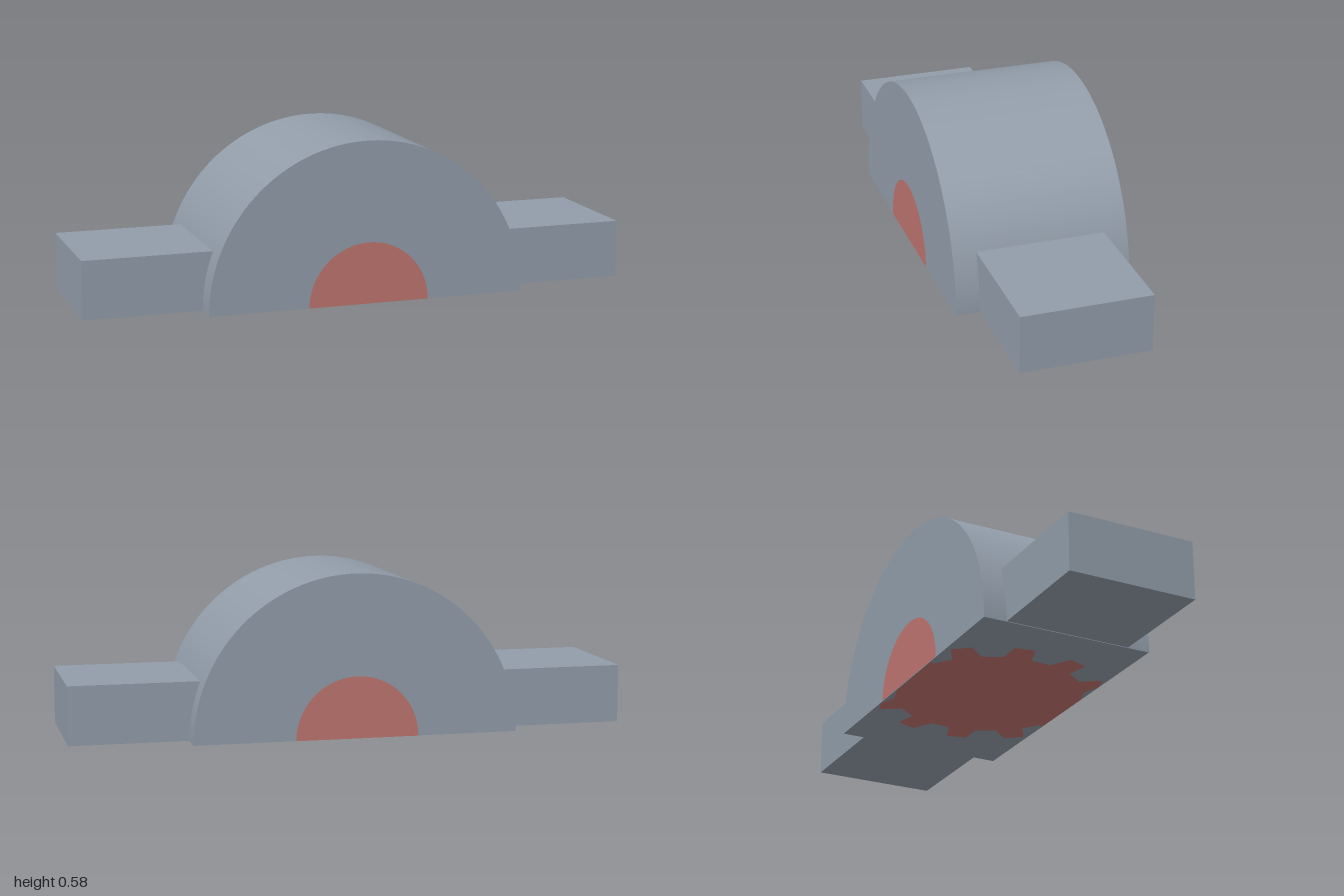
import * as THREE from 'three';

const RADIUS = 0.58, DEPTH = 0.63, LIFT = 0.002;

export function createModel() {
  const model = new THREE.Group();
  const grey = new THREE.MeshStandardMaterial({ color: 0x929daa });
  grey.name = 'steel grey';
  const red = new THREE.MeshStandardMaterial({ color: 0xbe7470 });
  red.name = 'dull red';

  const add = (name, geometry, material, x = 0, y = 0, z = 0) => {
    const mesh = new THREE.Mesh(geometry, material);
    mesh.name = name;
    mesh.position.set(x, y, z);
    model.add(mesh);
    return mesh;
  };

  // Half-round housing, lying along z
  const arch = new THREE.CylinderGeometry(RADIUS, RADIUS, DEPTH, 64, 1, false, Math.PI / 2, Math.PI);
  arch.rotateX(Math.PI / 2);
  add('housing', arch, grey, 0, LIFT - 0.002);
  const base = new THREE.PlaneGeometry(RADIUS * 2, DEPTH).rotateX(Math.PI / 2);
  add('housingBase', base, grey, 0, LIFT);

  // Mounting feet on both sides
  for (const side of [-1, 1]) {
    add(side > 0 ? 'leftFoot' : 'rightFoot',
      new THREE.BoxGeometry(0.5, 0.21 - LIFT, 0.462), grey, side * 0.75, (0.21 + LIFT) / 2);
  }

  // Red half discs on the front and back faces
  for (const side of [-1, 1]) {
    const disc = new THREE.CircleGeometry(0.22, 40, 0, Math.PI);
    const mesh = add(side > 0 ? 'frontHub' : 'backHub', disc, red, 0, 0, side * (DEPTH / 2 + 0.002));
    if (side < 0) mesh.rotation.y = Math.PI;
  }

  // Toothed red patch under the housing, cut off at its front and back edges
  const teeth = 12, points = [];
  for (let i = 0; i < teeth; i++) {
    const mid = ((10 + i * 360 / teeth) * Math.PI) / 180;
    for (const [offset, r] of [[-0.15, 0.34], [-0.09, 0.42], [0.09, 0.42], [0.15, 0.34]]) {
      const a = mid + offset;
      points.push(new THREE.Vector2(r * Math.cos(a),
        THREE.MathUtils.clamp(r * Math.sin(a), -0.312, 0.312)));
    }
  }
  const gear = new THREE.ShapeGeometry(new THREE.Shape(points)).rotateX(Math.PI / 2);
  add('undersideGear', gear, red);

  return model;
}
